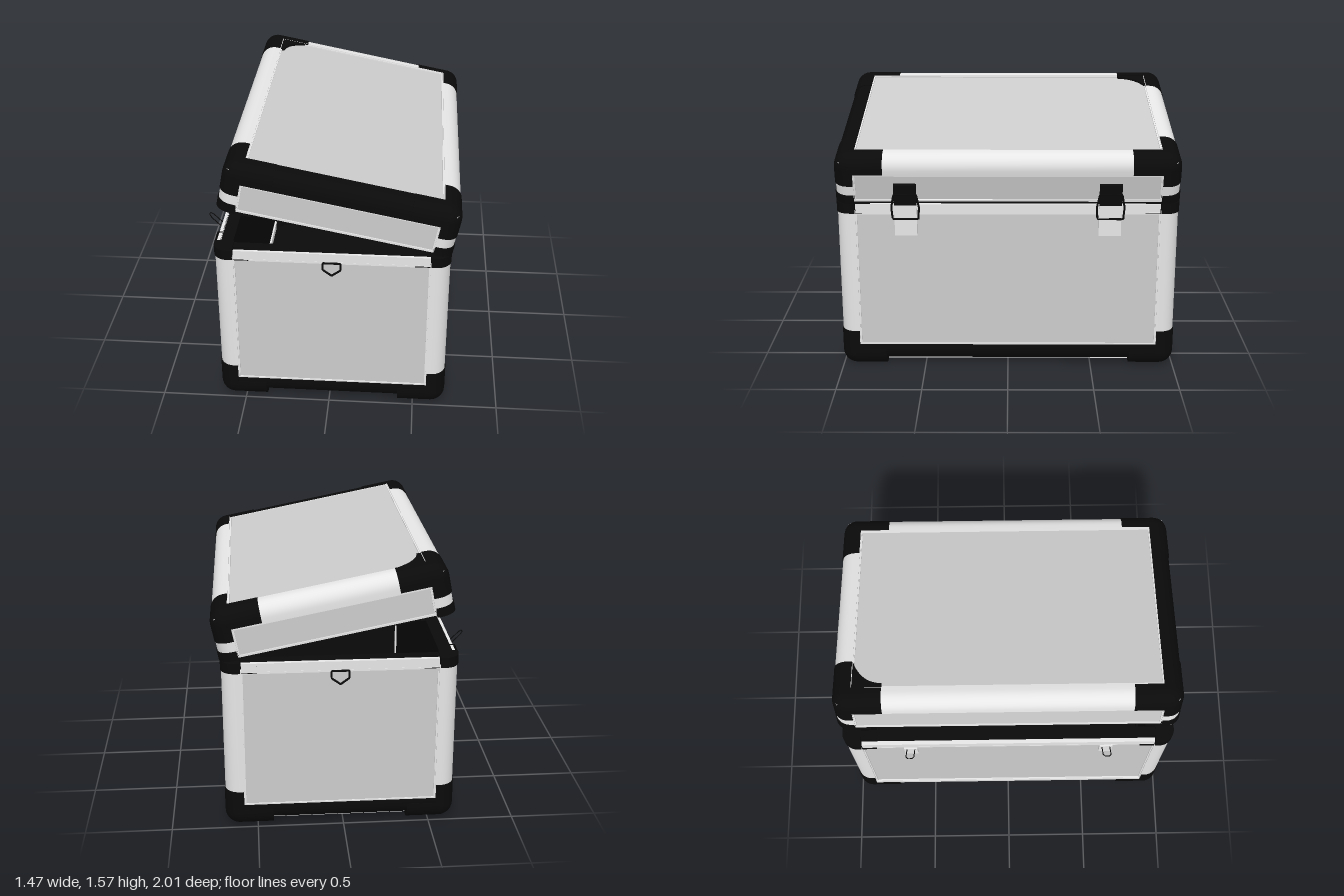
import * as THREE from 'three';
import { toCreasedNormals } from 'three/addons/utils/BufferGeometryUtils.js';

const mat = (name, color) => {
  const m = new THREE.MeshStandardMaterial({ color });
  m.name = name;
  return m;
};

export function createModel() {
  const black = mat('black plastic', 0x0a0a0a);
  const panel = mat('grey panel', 0xcccccc);
  const silver = mat('silver aluminium', 0xe6e6e6);

  const W = 0.667, D = 1, S = 0.112, R = 0.085;   // half width, half depth, rail size, edge radius
  const BASE_H = 1.03, LID_H = 0.29, TILT = -0.196;

  const add = (parent, name, geo, material, x = 0, y = 0, z = 0) => {
    const m = new THREE.Mesh(geo, material);
    m.name = name;
    m.position.set(x, y, z);
    parent.add(m);
    return m;
  };
  const box = (parent, name, material, x0, x1, y0, y1, z0, z1) =>
    add(parent, name, new THREE.BoxGeometry(x1 - x0, y1 - y0, z1 - z0), material,
      (x0 + x1) / 2, (y0 + y1) / 2, (z0 + z1) / 2);

  // Square bar with one rounded outer edge at (cu, cv); du, dv point inwards
  function rail(parent, name, material, axis, cu, du, cv, dv, a, b) {
    if (axis === 'x') { cu = -cu; du = -du; }      // u = -z, v = y
    if (axis === 'y') { cv = -cv; dv = -dv; }      // u = x, v = -z
    const pts = [[S, 0], [S, S], [0, S]];
    for (let i = 0; i <= 8; i++) {
      const t = i / 8 * Math.PI / 2;
      pts.push([R - R * Math.cos(t), R - R * Math.sin(t)]);
    }
    const shape = new THREE.Shape(pts.map(([u, v]) => new THREE.Vector2(cu + du * u, cv + dv * v)));
    let geo = new THREE.ExtrudeGeometry(shape, { depth: b - a, bevelEnabled: false });
    geo.translate(0, 0, a);
    if (axis === 'x') geo.rotateY(Math.PI / 2);
    if (axis === 'y') geo.rotateX(-Math.PI / 2);
    add(parent, name, toCreasedNormals(geo, 0.5), material);
  }

  // Three-armed corner protector with a ball-shaped tip
  function corner(parent, sx, y, dy, sz, lx, ly, lz) {
    const g = 0.004, x = sx * (W + g), z = sz * (D + g);
    const span = (c, d, l) => [Math.min(c + d * R, c + d * l), Math.max(c + d * R, c + d * l)];
    const name = 'cornerProtector';
    rail(parent, name, black, 'x', z, -sz, y, dy, ...span(x, -sx, lx));
    rail(parent, name, black, 'y', x, -sx, z, -sz, ...span(y, dy, ly));
    rail(parent, name, black, 'z', x, -sx, y, dy, ...span(z, -sz, lz));
    add(parent, name, new THREE.SphereGeometry(R, 24, 16), black, x - sx * R, y + dy * R, z - sz * R);
  }

  // Recessed plate with a thin raised lip, facing +z of its parent
  function framedPanel(parent, hw, y0, y1, z) {
    box(parent, 'panel', panel, -hw, hw, y0, y1, z - 0.022, z - 0.012);
    const rect = (T, i) => new T([[-hw + i, y0 + i], [hw - i, y0 + i], [hw - i, y1 - i], [-hw + i, y1 - i]]
      .map(p => new THREE.Vector2(...p)));
    const s = rect(THREE.Shape, 0);
    s.holes.push(rect(THREE.Path, 0.012));
    add(parent, 'panelLip', new THREE.ExtrudeGeometry(s, { depth: 0.008, bevelEnabled: false }), silver, 0, 0, z - 0.013);
  }

  // Four walls: panel, rim, liner and the short end caps along the opening
  function walls(parent, o) {
    [['front', 0, W, D], ['right', 1, D, W], ['back', 2, W, D], ['left', 3, D, W]].forEach(([n, k, half, dist]) => {
      const side = new THREE.Group();
      side.name = n + 'Wall';
      side.rotation.y = k * Math.PI / 2;
      parent.add(side);
      const hw = half - S;
      framedPanel(side, hw + 0.004, o.panel[0], o.panel[1], dist);
      box(side, 'rim', o.rimMat, -hw, hw, o.rim[0], o.rim[1], dist - 0.03, dist - 0.006);
      box(side, 'liner', o.linerMat, -half + 0.03, half - 0.03, o.liner[0], o.liner[1], dist - o.thick, dist - 0.023);
      for (const s of [-1, 1])
        box(side, 'endCap', black, s > 0 ? hw : -half + 0.2, s > 0 ? half - 0.2 : -hw, o.cap[0], o.cap[1], dist - 0.04, dist + 0.004);
    });
    // Rounded upright corners with a black band at the opening
    for (const sx of [-1, 1]) for (const sz of [-1, 1]) {
      rail(parent, 'cornerPost', silver, 'y', sx * W, -sx, sz * D, -sz, o.post[0], o.post[1]);
      rail(parent, 'cornerBand', black, 'y', sx * (W + 0.005), -sx, sz * (D + 0.005), -sz, o.cap[0], o.cap[1]);
    }
  }

  // Edge rails, each with its own colour
  function edgeRails(parent, y, dy, c) {
    rail(parent, 'frontRail', c.front, 'x', D, -1, y, dy, -W + R, W - R);
    rail(parent, 'backRail', c.back, 'x', -D, 1, y, dy, -W + R, W - R);
    rail(parent, 'rightRail', c.right, 'z', W, -1, y, dy, -D + R, D - R);
    rail(parent, 'leftRail', c.left, 'z', -W, 1, y, dy, -D + R, D - R);
  }

  const model = new THREE.Group();
  model.name = 'openCase';
  model.position.x = 0.018;

  // Base
  const base = new THREE.Group();
  base.name = 'base';
  model.add(base);
  walls(base, {
    panel: [0.138, 0.98], rim: [0.978, BASE_H], rimMat: silver, liner: [0.06, BASE_H], linerMat: black,
    thick: 0.1, cap: [0.975, BASE_H + 0.006], post: [0.15, 0.99],
  });
  edgeRails(base, 0.03, 1, { front: black, back: black, right: black, left: silver });
  for (const sx of [-1, 1]) for (const sz of [-1, 1]) corner(base, sx, 0, 1, sz, 0.28, 0.23, 0.27);
  box(base, 'floor', black, -W + 0.1, W - 0.1, 0.035, 0.09, -D + 0.1, D - 0.1);
  for (const s of [-1, 1]) {
    const x = s * (W - 0.1), z = s * (D - 0.1);
    box(base, 'undersideStrip', silver, x - 0.035, x + 0.035, 0.025, 0.034, -D + 0.27, D - 0.27);
    box(base, 'undersideStrip', silver, -W + 0.28, W - 0.28, 0.025, 0.034, z - 0.035, z + 0.035);
  }

  // Lid, tilted about the hinge edge
  const hinge = new THREE.Group();
  hinge.name = 'lidHinge';
  hinge.position.set(0.672, 1.04, 0);
  hinge.rotation.z = TILT;
  model.add(hinge);
  const lid = new THREE.Group();
  lid.name = 'lid';
  lid.position.x = -W;
  hinge.add(lid);
  walls(lid, {
    panel: [0.008, 0.182], rim: [0, 0.01], rimMat: black, liner: [0.004, 0.25], linerMat: panel,
    thick: 0.05, cap: [-0.002, 0.05], post: [0.04, 0.2],
  });
  edgeRails(lid, LID_H, -1, { front: black, back: silver, right: silver, left: silver });
  for (const sx of [-1, 1]) for (const sz of [-1, 1]) corner(lid, sx, LID_H + 0.004, -1, sz, 0.285, 0.185, 0.285);
  const top = new THREE.Group();
  top.name = 'lidTop';
  top.rotation.x = -Math.PI / 2;
  lid.add(top);
  framedPanel(top, W - S + 0.004, -D + S - 0.004, D - S + 0.004, LID_H);
  box(lid, 'lidLining', panel, -W + 0.05, W - 0.05, 0.24, 0.262, -D + 0.05, D - 0.05);

  // Curved gusset on one lid corner
  const gs = new THREE.Shape();
  gs.moveTo(0, 0);
  gs.lineTo(0.17, 0);
  gs.quadraticCurveTo(0.03, 0.05, 0.025, 0.17);
  gs.lineTo(0, 0.17);
  const gg = new THREE.ExtrudeGeometry(gs, { depth: 0.012, bevelEnabled: false }).rotateX(Math.PI / 2);
  add(lid, 'gusset', gg, black, -W + S, LID_H, -D + S);

  // Closed wire or ring through a few points
  function wire(parent, name, pts, r) {
    const path = new THREE.CurvePath();
    const v = pts.map(p => new THREE.Vector3(...p));
    v.forEach((p, i) => path.add(new THREE.LineCurve3(p, v[(i + 1) % v.length])));
    add(parent, name, new THREE.TubeGeometry(path, 60, r, 6, true), black);
  }

  // Five-sided rings on both ends
  for (const s of [-1, 1]) {
    const z = s * (D - 0.002);
    wire(base, 'handleRing', [[-0.048, 0.974, z], [0.052, 0.974, z], [0.052, 0.93, z], [0.002, 0.893, z], [-0.048, 0.93, z]], 0.006);
  }

  for (const z of [-0.595, 0.595]) {
    // Fastened catches on the hinge side
    box(base, 'catchPlate', silver, W - 0.012, W + 0.004, 0.84, 1.03, z - 0.065, z + 0.065);
    const bracket = box(base, 'catchBracket', black, W + 0.002, W + 0.03, 1.03, 1.16, z - 0.065, z + 0.065);
    bracket.rotation.z = TILT;
    const x = W + 0.01;
    wire(base, 'catchLoop', [[x, 0.945, z - 0.075], [x + 0.012, 1.02, z - 0.08], [x + 0.018, 1.1, z - 0.065],
      [x + 0.018, 1.1, z + 0.065], [x + 0.012, 1.02, z + 0.08], [x, 0.945, z + 0.075]], 0.006);
    // Released catches on the opening side
    box(base, 'openCatchPlate', silver, -W - 0.004, -W + 0.014, 0.86, 0.97, z - 0.04, z + 0.04);
    wire(base, 'openCatchLoop', [[-W, 0.95, z - 0.024], [-0.735, 1.02, z - 0.024], [-0.75, 1.035, z - 0.012],
      [-0.75, 1.035, z + 0.012], [-0.735, 1.02, z + 0.024], [-W, 0.95, z + 0.024]], 0.003);
  }
  return model;
}
